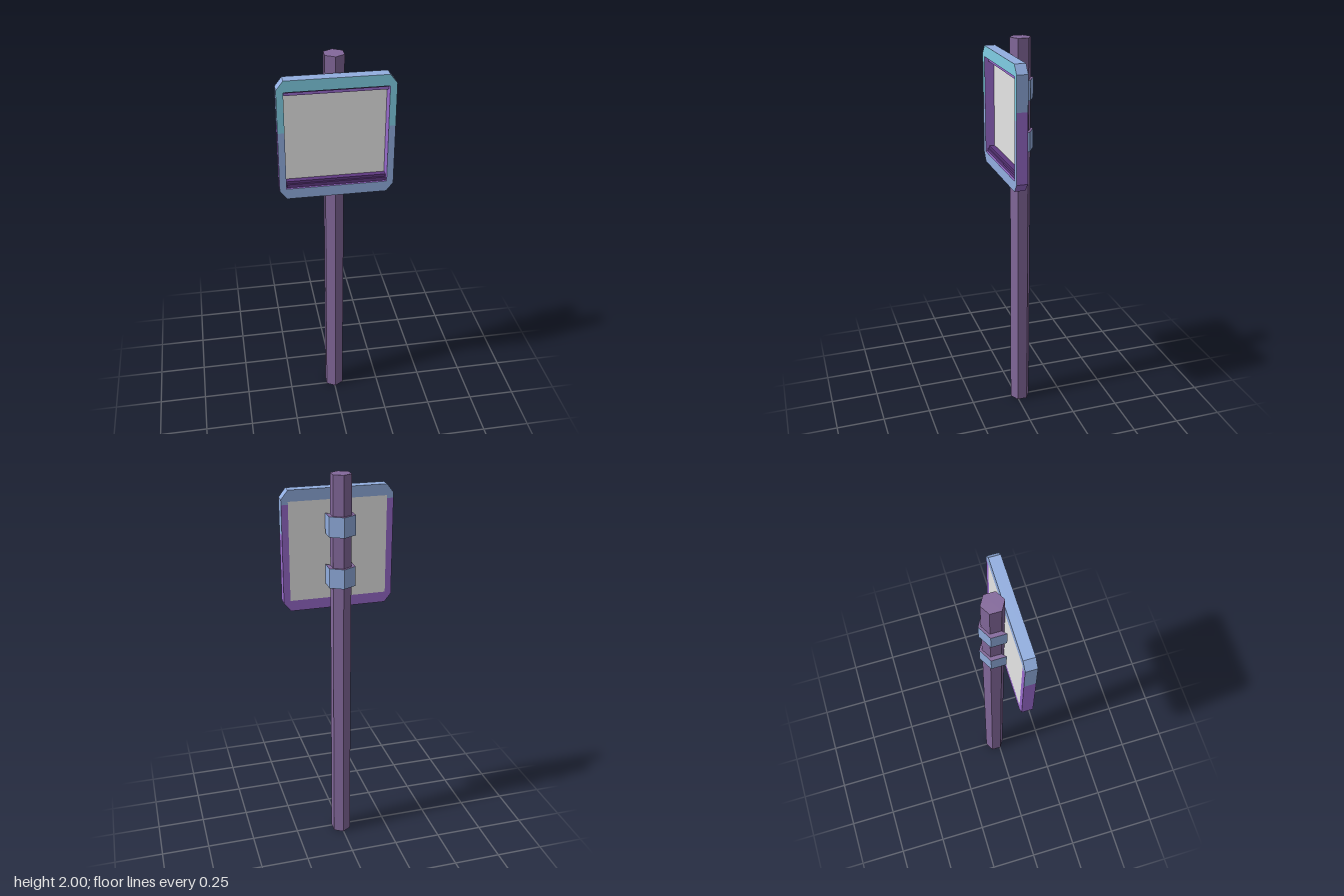
import * as THREE from 'three';

const mat = (name, color) => {
  const m = new THREE.MeshStandardMaterial({ color });
  m.name = name;
  return m;
};

export function createModel() {
  const teal = mat('teal', 0x80cee4);
  const blue = mat('blue', 0x92aee0);
  const violet = mat('violet', 0x986acc);
  const darkViolet = mat('dark violet', 0x5e3880);
  const plum = mat('plum', 0x83689b);
  const grey = mat('grey', 0xe5e5e5);

  const model = new THREE.Group();
  model.name = 'signPost';
  const add = (name, geometry, material, parent = model) => {
    const mesh = new THREE.Mesh(geometry, material);
    mesh.name = name;
    parent.add(mesh);
    return mesh;
  };

  // Six-sided pole with flat faces
  const POLE_X = 0.002;
  const poleGeo = new THREE.CylinderGeometry(0.053, 0.053, 2, 6).toNonIndexed();
  poleGeo.computeVertexNormals();
  add('pole', poleGeo, plum).position.set(POLE_X, 1, -0.022);

  // Open clamps wrapped round the back of the pole
  const clampShape = new THREE.Shape([
    [0.065, -0.023], [0.066, 0.051], [0, 0.088], [-0.066, 0.051], [-0.065, -0.023],
    [-0.046, -0.004], [-0.046, 0.049], [0, 0.0755], [0.046, 0.049], [0.046, -0.004],
  ].map(([x, y]) => new THREE.Vector2(x, y)));
  const clampGeo = new THREE.ExtrudeGeometry(clampShape, { depth: 0.099, bevelEnabled: false });
  clampGeo.rotateX(-Math.PI / 2);
  for (const [name, y] of [['upperClamp', 1.707], ['lowerClamp', 1.453]]) {
    add(name, clampGeo, [plum, blue]).position.set(POLE_X, y, 0);
  }

  // Sign frame: outer edge has cut corners, inner edge is a rectangle
  const W = 0.278, TOP = 1.924, BOTTOM = 1.321, CX = 0.034, CY = 0.043;
  const IW = 0.245, ITOP = 1.869, IBOTTOM = 1.375;
  const BACK = 0.031, FRONT = 0.086;
  const frame = new THREE.Group();
  frame.name = 'signFrame';
  model.add(frame);

  // Outer edge above or below a level, anticlockwise from the front
  const upperEdge = (y) => [[W, y], [W, TOP - CY], [W - CX, TOP], [CX - W, TOP], [-W, TOP - CY], [-W, y]];
  const lowerEdge = (y) => [[-W, y], [-W, BOTTOM + CY], [CX - W, BOTTOM], [W - CX, BOTTOM], [W, BOTTOM + CY], [W, y]];

  // Flat U-shaped half of the frame
  const half = (upper, y) => {
    const inner = upper
      ? [[-IW, y], [-IW, ITOP], [IW, ITOP], [IW, y]]
      : [[IW, y], [IW, IBOTTOM], [-IW, IBOTTOM], [-IW, y]];
    const points = [...(upper ? upperEdge(y) : lowerEdge(y)), ...inner];
    return new THREE.ShapeGeometry(new THREE.Shape(points.map((p) => new THREE.Vector2(...p))));
  };

  // Wall joining a front path to a back path, facing right of their direction
  const wall = (front, back = front) => {
    const pos = [];
    for (let i = 0; i + 1 < front.length; i++) {
      const a = [...back[i], BACK], b = [...back[i + 1], BACK];
      const c = [...front[i + 1], FRONT], d = [...front[i], FRONT];
      pos.push(...a, ...b, ...c, ...a, ...c, ...d);
    }
    const g = new THREE.BufferGeometry();
    g.setAttribute('position', new THREE.Float32BufferAttribute(pos, 3));
    g.computeVertexNormals();
    return g;
  };
  const innerEdge = (w) => [[-w, IBOTTOM], [-w, ITOP], [w, ITOP], [w, IBOTTOM], [-w, IBOTTOM]];

  add('frameFrontUpper', half(true, 1.67).translate(0, 0, FRONT), teal, frame);
  add('frameFrontLower', half(false, 1.67).translate(0, 0, FRONT), blue, frame);
  add('frameBackUpper', half(true, 1.855).rotateY(Math.PI).translate(0, 0, BACK), blue, frame);
  add('frameBackLower', half(false, 1.855).rotateY(Math.PI).translate(0, 0, BACK), violet, frame);
  add('frameRimUpper', wall(upperEdge(1.71)), blue, frame);
  add('frameRimLower', wall(lowerEdge(1.71)), violet, frame);
  add('frameInnerWall', wall(innerEdge(IW), innerEdge(IW - 0.005)), violet, frame);

  // Blank panel flush with the back of the frame
  const PANEL = 0.008;
  add('panel', new THREE.BoxGeometry(2 * IW, ITOP - IBOTTOM, PANEL), grey)
    .position.set(0, (ITOP + IBOTTOM) / 2, BACK + PANEL / 2);

  // Stepped ledges above and below the panel, inside the recess
  const ledge = (name, y0, y1, depth, material) =>
    add(name, new THREE.BoxGeometry(2 * IW - 0.006, y1 - y0, depth), material, frame)
      .position.set(0, (y0 + y1) / 2, BACK + PANEL + depth / 2);
  ledge('topLedge', 1.845, 1.861, 0.028, violet);
  ledge('topLedgeStep', 1.861, ITOP, 0.036, darkViolet);
  ledge('bottomLedge', 1.392, 1.405, 0.028, darkViolet);
  ledge('bottomLedgeStep', IBOTTOM, 1.392, 0.036, darkViolet);

  return model;
}
